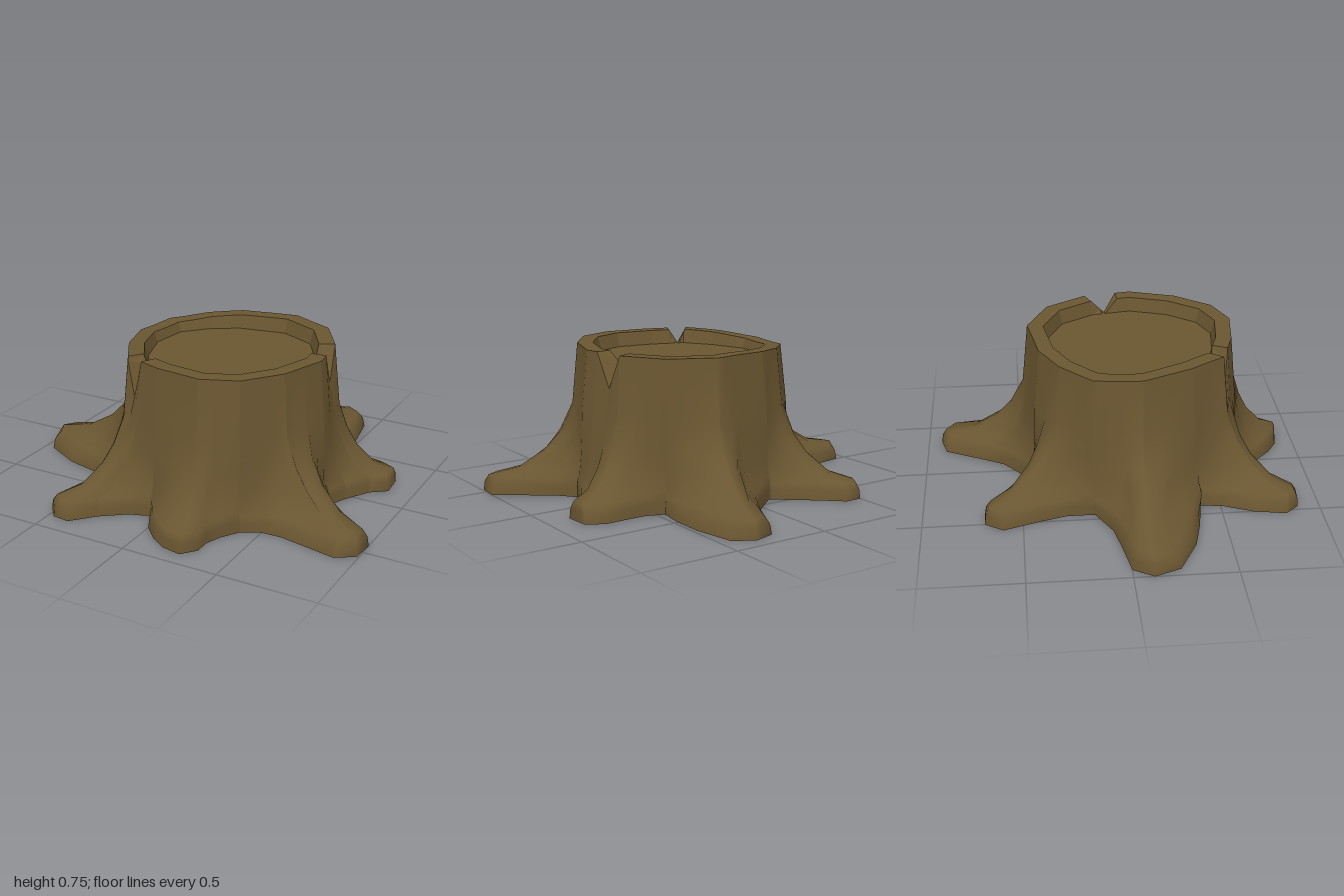
import * as THREE from 'three';

const CX = 0.08, CZ = 0.09, TAU = Math.PI * 2, DEG = Math.PI / 180;

// Ground outline of the seven roots, one row each from valley to valley (x, z)
const OUTLINE = [
  0.66, 0.15, 0.73, 0.23, 0.86, 0.33, 1.0, 0.43, 0.99, 0.55, 0.9, 0.61, 0.75, 0.58, 0.6, 0.55, 0.5, 0.555,
  0.41, 0.6, 0.35, 0.69, 0.32, 0.77, 0.32, 0.85, 0.26, 0.92, 0.16, 0.9, 0.08, 0.85, 0.0, 0.77,
  -0.05, 0.66, -0.16, 0.7, -0.28, 0.79, -0.38, 0.9, -0.47, 0.89, -0.53, 0.82, -0.5, 0.66, -0.44, 0.52,
  -0.42, 0.4, -0.6, 0.37, -0.76, 0.33, -0.95, 0.23, -1.0, 0.1, -0.94, 0.0, -0.76, -0.03, -0.61, -0.06,
  -0.46, -0.14, -0.46, -0.28, -0.5, -0.42, -0.56, -0.6, -0.5, -0.69, -0.41, -0.69, -0.31, -0.6, -0.2, -0.51,
  -0.11, -0.44, 0.07, -0.59, 0.13, -0.7, 0.23, -0.9, 0.34, -0.93, 0.44, -0.87, 0.48, -0.65, 0.48, -0.49,
  0.46, -0.36, 0.55, -0.325, 0.66, -0.325, 0.77, -0.33, 0.86, -0.28, 0.87, -0.15, 0.79, -0.09, 0.71, 0.04,
];
// Outer edge of the cut top (x, z)
const RIM = [
  0.6, 0.13, 0.52, 0.37, 0.38, 0.55, 0.2, 0.62, -0.04, 0.59, -0.25, 0.52, -0.36, 0.34,
  -0.44, 0.1, -0.41, -0.14, -0.26, -0.3, -0.1, -0.39, 0.2, -0.44, 0.43, -0.33, 0.56, -0.12,
];
const ROOT_AXES = [24, 78, 124, 180, 233, 284, 339].map(a => a * DEG);
// V-shaped splits in the rim: start, tip and end angle, tip height
const NOTCHES = [
  { a: 117 * DEG, m: 123 * DEG, b: 128 * DEG, y: 0.55 },
  { a: 336.5 * DEG, m: 345.5 * DEG, b: 355.5 * DEG, y: 0.58 },
];
// Root profile: height, reach towards the outline, width
const PROFILE = [
  [0, 1, 1], [0.05, 0.985, 0.93], [0.085, 0.94, 0.72], [0.12, 0.62, 0.62],
  [0.21, 0.33, 0.7], [0.3, 0.16, 0.85], [0.44, 0, 1],
];

const norm = a => ((a % TAU) + TAU) % TAU;

function toPolar(list) {
  const pts = [];
  for (let i = 0; i < list.length; i += 2) {
    const x = list[i] - CX, z = list[i + 1] - CZ;
    pts.push({ x, z, t: norm(Math.atan2(z, x)) });
  }
  return pts;
}

// Distance from the centre to a polygon along an angle
function reach(pts, t) {
  const c = Math.cos(t), s = Math.sin(t);
  let best = 0;
  pts.forEach((p, i) => {
    const q = pts[(i + 1) % pts.length];
    const sp = c * p.z - s * p.x, sq = c * q.z - s * q.x;
    if (sp * sq > 0 || sp === sq) return;
    const k = sp / (sp - sq);
    best = Math.max(best, c * (p.x + k * (q.x - p.x)) + s * (p.z + k * (q.z - p.z)));
  });
  return best;
}

// Joins closed rings of points; consecutive rings run up, then inwards
function skin(rings, smooth) {
  const n = rings[0].length, index = [];
  for (let r = 0; r < rings.length - 1; r++) {
    for (let i = 0; i < n; i++) {
      const j = (i + 1) % n;
      const a = r * n + i, b = r * n + j, c = a + n, d = b + n;
      index.push(a, c, b, b, c, d);
    }
  }
  const geo = new THREE.BufferGeometry();
  geo.setAttribute('position', new THREE.Float32BufferAttribute(rings.flat(2), 3));
  geo.setIndex(index);
  const out = smooth ? geo : geo.toNonIndexed();
  out.computeVertexNormals();
  return out;
}

export function createModel() {
  const group = new THREE.Group();
  const bark = new THREE.MeshStandardMaterial({ color: 0x6a5631 });
  bark.name = 'bark brown';

  const outline = toPolar(OUTLINE), rim = toPolar(RIM);
  const notchAngles = NOTCHES.flatMap(n => [n.a, n.m, n.b]);
  const angles = [...outline.map(p => p.t), ...rim.map(p => p.t), ...notchAngles]
    .sort((p, q) => p - q)
    .filter((t, i, all) => i === 0 || t - all[i - 1] > 1e-4);

  const at = (t, r, y) => [CX + r * Math.cos(t), y, CZ + r * Math.sin(t)];
  const ring = fn => angles.map(fn);
  const rimR = t => reach(rim, t);

  // Height of the cut edge, dropping into the splits
  const topY = (t, inner) => {
    const y = 0.753 - 0.025 * Math.max(0, -Math.cos(t - 0.3)) ** 4;
    for (const n of NOTCHES) {
      if (t < n.a || t > n.b) continue;
      const k = t < n.m ? (n.m - t) / (n.m - n.a) : (t - n.m) / (n.b - n.m);
      const tip = inner ? 0.682 : n.y;
      return tip + (y - tip) * k;
    }
    return y;
  };

  // Roots swell out of the trunk and narrow towards their ridges
  const rootRings = PROFILE.map(([y, f, width]) => ring(t => {
    const base = rimR(t) * 1.06, R = reach(outline, t);
    let turn = 9;
    for (const axis of ROOT_AXES) {
      const d = norm(t - axis + Math.PI) - Math.PI;
      if (Math.abs(d) < Math.abs(turn)) turn = d;
    }
    const w = THREE.MathUtils.clamp((R - 0.58) / 0.3, 0, 1);
    return at(t - turn * (1 - width) * w, base + f * (R - base), y);
  }));

  const outer = ring(t => at(t, rimR(t), topY(t, false)));
  const inner = ring(t => at(t, rimR(t) * 0.845, topY(t, true)));
  const floorEdge = ring(t => at(t, rimR(t) * 0.81, 0.68));
  const centre = y => ring(() => [CX, y, CZ]);

  const add = (name, rings, smooth) => {
    const mesh = new THREE.Mesh(skin(rings, smooth), bark);
    mesh.name = name;
    group.add(mesh);
  };
  add('trunkAndRoots', [...rootRings, outer], true);
  add('splitRim', [outer, inner], false);
  add('rimInnerWall', [inner, floorEdge], false);
  add('cutTop', [floorEdge, centre(0.68)], false);
  add('underside', [centre(0), rootRings[0]], false);
  return group;
}
